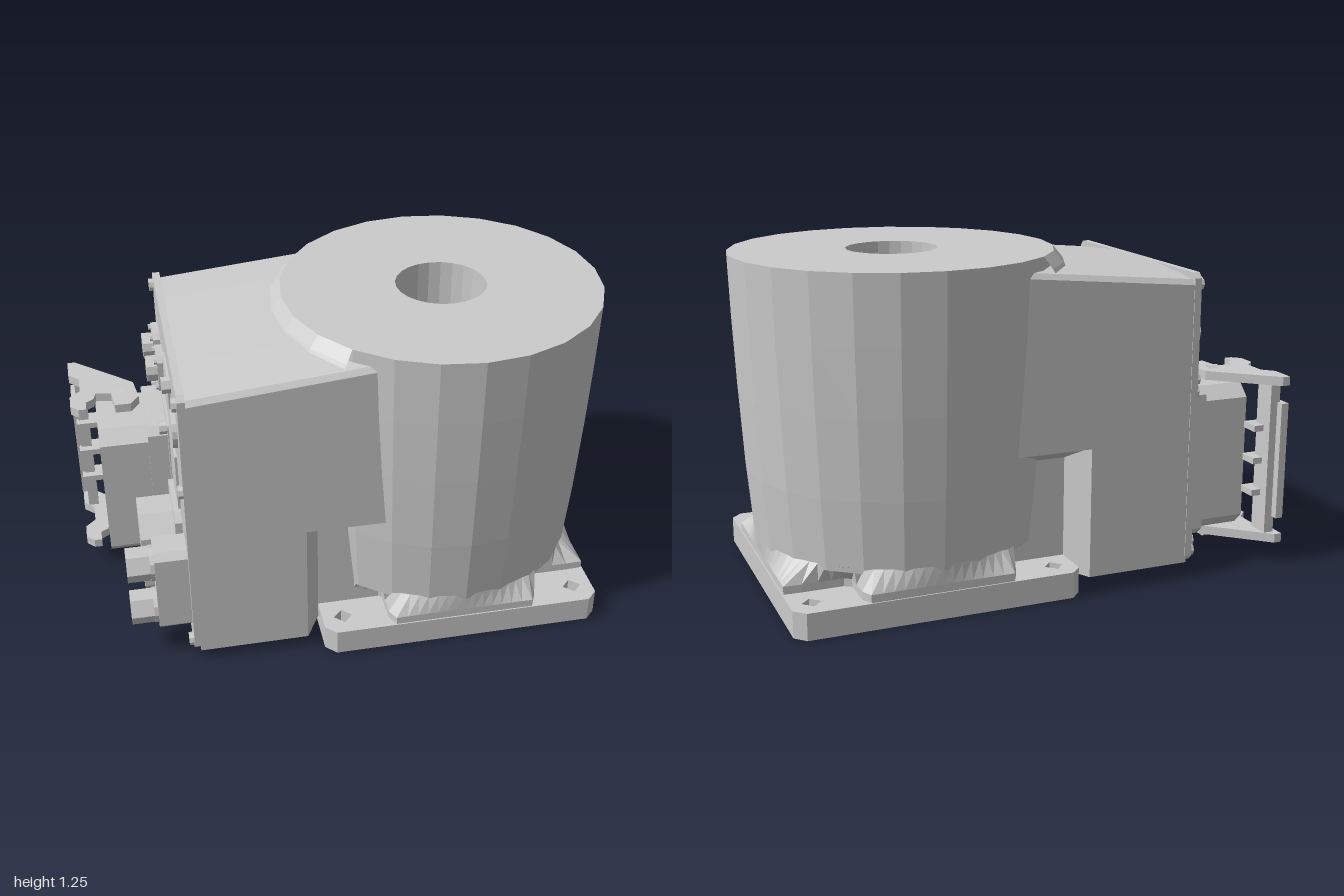
import * as THREE from 'three';

const material = new THREE.MeshStandardMaterial({ color: 0xcccccc, flatShading: true, side: THREE.DoubleSide });

const shapeOf = (pts) => new THREE.Shape(pts.map(([a, b]) => new THREE.Vector2(a, b)));

// Extrude a plan given as [x, z] upward from y0 to y1
function extrudeUp(shape, y0, y1) {
  const g = new THREE.ExtrudeGeometry(shape, { depth: y1 - y0, bevelEnabled: false });
  return g.rotateX(-Math.PI / 2).translate(0, y0, 0);
}

// Extrude a section given as [-z, y] along x from x0 to x1
function extrudeAlongX(shape, x0, x1) {
  const g = new THREE.ExtrudeGeometry(shape, { depth: x1 - x0, bevelEnabled: false });
  return g.rotateY(Math.PI / 2).translate(x0, 0, 0);
}

// Rectangle with cut corners, centred on (cx, cy)
function cutRect(cx, cy, w, h, c) {
  const a = w / 2, b = h / 2;
  return shapeOf([[-a + c, -b], [a - c, -b], [a, -b + c], [a, b - c], [a - c, b], [-a + c, b], [-a, b - c], [-a, -b + c]]
    .map(([x, y]) => [cx + x, cy + y]));
}

export function createModel() {
  const model = new THREE.Group();
  const add = (name, geometry, parent = model) => {
    const mesh = new THREE.Mesh(geometry, material);
    mesh.name = name;
    parent.add(mesh);
    return mesh;
  };
  const box = (name, x0, x1, y0, y1, z0, z1) =>
    add(name, new THREE.BoxGeometry(x1 - x0, y1 - y0, z1 - z0)
      .translate((x0 + x1) / 2, (y0 + y1) / 2, (z0 + z1) / 2));
  // Cylinder lying along x
  const rod = (name, x0, x1, y, z, r, sides) =>
    add(name, new THREE.CylinderGeometry(r, r, x1 - x0, sides)
      .rotateZ(Math.PI / 2).translate((x0 + x1) / 2, y, z));

  // Foot plate with four square bolt holes
  const plate = cutRect(0.4, 0, 1.08, 1.1, 0.04);
  for (const x of [-0.06, 0.86]) for (const z of [-0.46, 0.46]) {
    const r = 0.036;
    plate.holes.push(new THREE.Path([[r, 0], [0, r], [-r, 0], [0, -r]].map(([a, b]) => new THREE.Vector2(x + a, z + b))));
  }
  add('footPlate', extrudeUp(plate, 0, 0.1));

  // Skirt: cross-shaped outline blending up into the round column
  const skirt = new THREE.CylinderGeometry(1, 1, 1, 96, 2, true);
  const p = skirt.attributes.position;
  const rect = (c, s, hx, hz) => Math.min(hx / Math.max(Math.abs(c), 1e-6), hz / Math.max(Math.abs(s), 1e-6));
  for (let i = 0; i < p.count; i++) {
    const c = p.getX(i), s = p.getZ(i), h = p.getY(i);
    const cross = Math.max(rect(c, s, 0.29, 0.545), rect(c, s, 0.535, 0.36));
    const r = h > 0.4 ? 0.543 : cross;
    p.setXYZ(i, 0.4 + c * r, h > 0.4 ? 0.2 : h > -0.1 ? 0.13 : 0.09, s * r);
  }
  add('columnSkirt', skirt);

  // Tapered round column with a central bore
  const profile = [[0, 0.18], [0.545, 0.18], [0.567, 0.45], [0.583, 0.75], [0.593, 1], [0.6, 1.25], [0.17, 1.25], [0.17, 0.7], [0, 0.7]];
  add('column', new THREE.LatheGeometry(profile.map(([r, y]) => new THREE.Vector2(r, y)), 24).translate(0.4, 0, 0));

  // Sloped fairing between the housing roof and the column rim
  add('rimFairing', new THREE.LatheGeometry([[0.66, 1.17], [0.635, 1.208], [0.6, 1.25]].map(([r, y]) => new THREE.Vector2(r, y)),
    6, Math.PI * 1.25, Math.PI / 2).translate(0.4, 0, 0));

  // Housing, lower half, with a bolt recess in each side
  const half = [[0.2, 0.37], [-0.14, 0.37], [-0.2, 0.48], [-0.61, 0.48]];
  const plan = [...half, ...half.map(([x, z]) => [x, -z]).reverse()];
  add('housingLower', extrudeUp(shapeOf(plan), 0.04, 0.54));

  // Housing, upper half, with a crowned roof that climbs toward the column
  const side = [[0.48, 0.54], [0.48, 1.12], [0.465, 1.14], [0.25, 1.16]];
  const section = [...side, [0, 1.17], ...side.map(([z, y]) => [-z, y]).reverse()];
  const upper = extrudeAlongX(shapeOf(section), -0.61, 0.2);
  const u = upper.attributes.position;
  for (let i = 0; i < u.count; i++) if (u.getY(i) > 1) u.setY(i, u.getY(i) + (u.getX(i) + 0.61) * 0.095);
  add('housingUpper', upper);

  // Sloped ceiling of each bolt recess
  for (const s of [-1, 1]) {
    add('recessCeiling', extrudeAlongX(shapeOf([[s * 0.36, 0.545], [s * 0.475, 0.545], [s * 0.36, 0.48]]), -0.2, 0.1));
  }

  // Rear service panel, cover plates and screws
  add('rearPanel', extrudeAlongX(cutRect(0, 0.605, 0.965, 1.12, 0.02), -0.633, -0.605));
  box('coverPlate', -0.642, -0.63, 0.85, 1.06, -0.02, 0.17);
  box('coverPlate', -0.642, -0.63, 0.55, 0.78, 0.02, 0.26);
  box('socketPlate', -0.645, -0.63, 0.07, 0.74, -0.44, -0.01);
  rod('roundCap', -0.65, -0.63, 0.95, 0.33, 0.07, 16);
  rod('capScrew', -0.665, -0.63, 1.05, 0.2, 0.03, 6);
  for (const z of [-0.45, 0.45]) for (const y of [0.08, 0.76, 1.12]) rod('panelScrew', -0.65, -0.63, y, z, 0.025, 8);
  for (const z of [-0.4, -0.07]) for (const y of [0.1, 0.7]) rod('socketScrew', -0.675, -0.63, y, z, 0.028, 8);

  // Two small round sockets on square flanges
  for (const z of [-0.33, -0.15]) {
    add('smallSocketFlange', extrudeAlongX(cutRect(-z, 0.92, 0.13, 0.15, 0.02), -0.66, -0.63));
    rod('smallSocket', -0.7, -0.65, 0.92, z, 0.05, 10);
    for (const a of [-0.045, 0.045]) for (const b of [-0.055, 0.055]) rod('flangeScrew', -0.67, -0.65, 0.92 + b, z + a, 0.012, 6);
  }

  // Large plug hood
  add('plugBase', extrudeAlongX(cutRect(0.225, 0.41, 0.36, 0.6, 0.03), -0.72, -0.63));
  add('plugHood', extrudeAlongX(cutRect(0.225, 0.41, 0.34, 0.58, 0.05), -0.905, -0.72));
  for (const y of [0.09, 0.735]) rod('leverPivot', -0.83, -0.79, y, -0.29, 0.03, 10);

  // Locking lever: two hooked arms joined by a ribbed grip
  const arm = [[-1, -0.54], [-0.97, -0.54], [-0.75, -0.34], [-0.735, -0.23], [-0.77, -0.18], [-0.83, -0.18], [-0.84, -0.27],
    [-0.9, -0.28], [-0.91, -0.24], [-0.94, -0.22], [-0.94, -0.17], [-0.97, -0.17], [-1, -0.2], [-1, -0.27], [-0.96, -0.31],
    [-0.96, -0.4], [-1, -0.44]].map(([x, z]) => [x, -z]);
  for (const y of [0.09, 0.72]) add('leverArm', extrudeUp(shapeOf(arm), y, y + 0.035));
  box('leverGrip', -1, -0.97, 0.19, 0.65, -0.54, -0.43);
  box('leverBridge', -0.98, -0.94, 0.11, 0.73, -0.51, -0.42);
  for (const y of [0.28, 0.41, 0.54]) box('gripRib', -0.99, -0.9, y - 0.012, y + 0.012, -0.47, -0.39);

  // Middle plug with cut corners
  add('middlePlug', extrudeAlongX(cutRect(-0.13, 0.31, 0.25, 0.36, 0.07), -0.79, -0.65));
  add('middlePlugFlange', extrudeAlongX(cutRect(-0.13, 0.31, 0.28, 0.42, 0.03), -0.66, -0.63));

  // Cable gland block with two hexagonal nuts
  add('glandBlock', extrudeAlongX(cutRect(-0.375, 0.31, 0.15, 0.35, 0.025), -0.755, -0.63));
  for (const y of [0.205, 0.405]) {
    rod('glandNut', -0.855, -0.75, y, 0.375, 0.065, 6);
    rod('glandCollar', -0.77, -0.75, y, 0.375, 0.068, 12);
  }

  return model;
}
